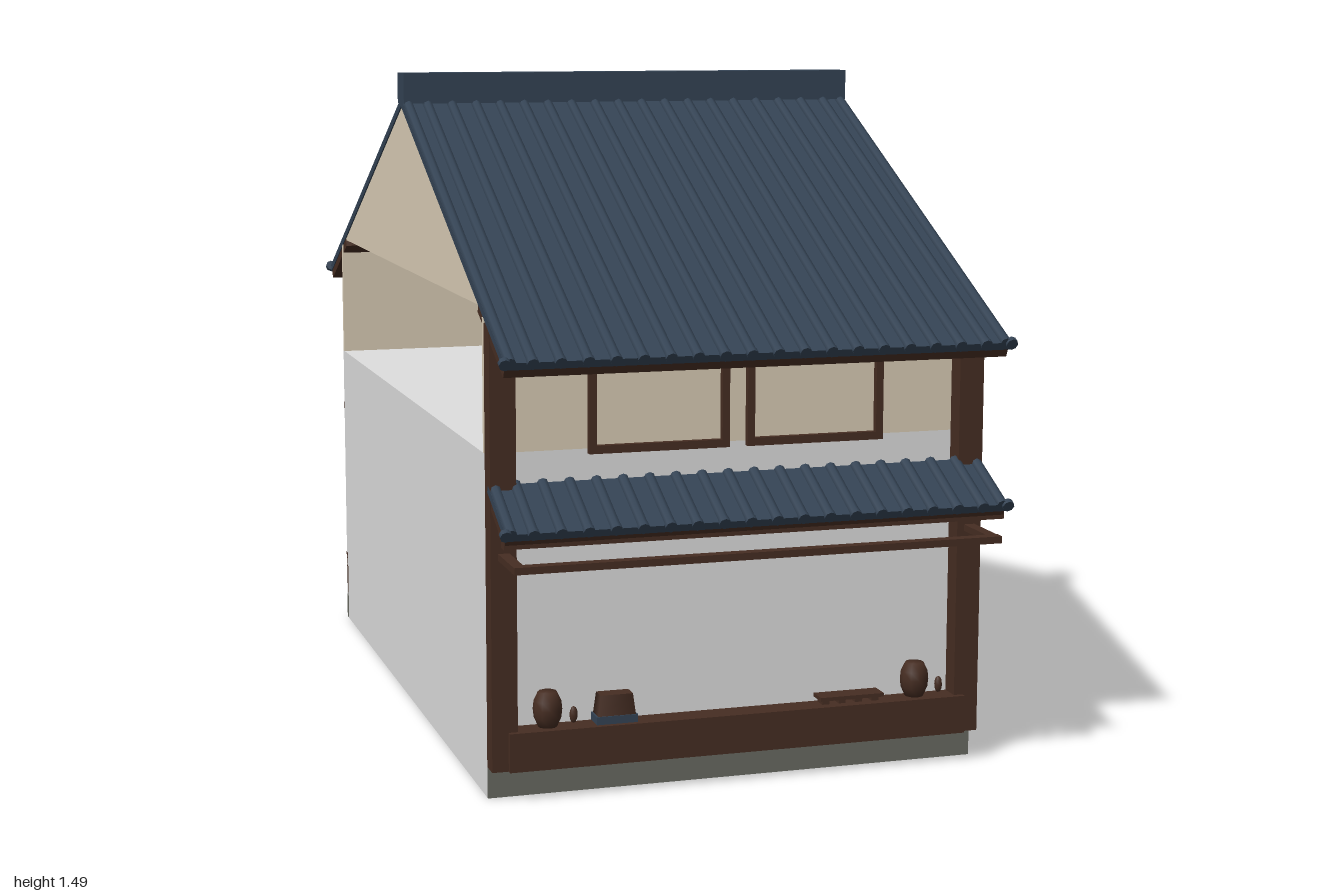
import * as THREE from 'three';

export function createModel() {
  const root = new THREE.Group();
  root.name = 'townhouse';
  const mat = (name, color) => {
    const m = new THREE.MeshStandardMaterial({ color });
    m.name = name;
    return m;
  };
  const tile = mat('slate blue tile', 0x344354);
  const wood = mat('dark wood', 0x462d22);
  const plaster = mat('cream plaster', 0xdacdb6);
  const white = mat('pale wall', 0xdedede);
  const stone = mat('grey stone', 0x696a62);

  const add = (name, geo, material, parent = root) => {
    const mesh = new THREE.Mesh(geo, material);
    mesh.name = name;
    parent.add(mesh);
    return mesh;
  };
  // Box given by its lower and upper limits on each axis
  const block = (name, material, x0, x1, y0, y1, z0, z1, parent = root) => {
    const mesh = add(name, new THREE.BoxGeometry(x1 - x0, y1 - y0, z1 - z0), material, parent);
    mesh.position.set((x0 + x1) / 2, (y0 + y1) / 2, (z0 + z1) / 2);
    return mesh;
  };

  // Main body, foundation and thin upper walls
  const W = 0.545;
  block('body', white, -W, W, 0, 0.73, -0.815, 0.815);
  block('frontFoundation', stone, -W, W, 0, 0.067, 0.8, 0.82);
  block('backFoundation', stone, -W, W, 0, 0.07, -0.82, -0.8);
  block('frontUpperWall', plaster, -W, W, 0.73, 1.01, 0.8, 0.815);
  block('backUpperWall', plaster, -W, W, 0.73, 1.02, -0.815, -0.8);
  block('shopHeader', plaster, -0.49, 0.49, 0.53, 0.57, 0.81, 0.819);
  block('backLowerBand', wood, -W, W, 0.07, 0.18, -0.82, -0.8);
  block('backUpperBand', wood, -W, W, 0.55, 0.59, -0.82, -0.8);

  // Attic prism closing both gables
  const gable = new THREE.Shape([
    new THREE.Vector2(-0.785, 1.03), new THREE.Vector2(0.785, 1.03), new THREE.Vector2(0, 1.41),
  ]);
  const attic = add('attic', new THREE.ExtrudeGeometry(gable, { depth: 1.084, bevelEnabled: false }), plaster);
  attic.rotation.y = Math.PI / 2;
  attic.position.x = -0.542;

  // Sloped roof with rounded tile rows, end caps and wooden eaves
  const angle = 0.456, rows = 20;
  function slope(name, topY, topZ, run, eaveStart, back) {
    const holder = new THREE.Group();
    holder.name = name;
    if (back) holder.rotation.y = Math.PI;
    const g = new THREE.Group();
    g.position.set(0, topY, topZ);
    g.rotation.x = angle;
    holder.add(g);
    root.add(holder);
    const L = run / Math.cos(angle);
    block('roofSlab', tile, -W, W, -0.02, -0.003, 0, L, g);
    block('eaveBoard', wood, -0.543, 0.543, -0.04, -0.02, eaveStart, L - 0.004, g);
    const ribGeo = new THREE.CylinderGeometry(0.012, 0.012, L, 8, 1);
    const capGeo = new THREE.CylinderGeometry(0.013, 0.013, 0.012, 8);
    for (let i = 0; i < rows; i++) {
      const x = -W + (2 * W * i) / (rows - 1);
      const edge = i === 0 ? 0.012 : i === rows - 1 ? -0.012 : 0;
      const rib = add('tileRow', ribGeo, tile, g);
      rib.rotation.x = Math.PI / 2;
      rib.position.set(x + edge, -0.004, L / 2);
      const cap = add('tileCap', capGeo, tile, g);
      cap.rotation.x = Math.PI / 2;
      cap.position.set(x, -0.004, L);
    }
  }
  slope('frontRoof', 1.43, 0, 0.993, 0.86, false);
  slope('backRoof', 1.43, 0, 0.993, 0.86, true);
  slope('canopyRoof', 0.672, 0.843, 0.15, 0, false);
  block('ridge', tile, -W, W, 1.415, 1.485, -0.035, 0.035);

  // Front timber frame
  for (const s of [-1, 1]) {
    const x = s * 0.5175;
    block('cornerPost', wood, x - 0.0275, x + 0.0275, 0.067, 1.0, 0.81, 0.86);
    for (const y of [0.515, 0.568]) {
      block('canopyBracket', wood, x - 0.012, x + 0.012, y, y + 0.014, 0.85, 0.975);
    }
  }
  block('topBeam', wood, -0.49, 0.49, 0.95, 1.0, 0.81, 0.85);
  block('middleBeam', wood, -0.49, 0.49, 0.57, 0.655, 0.81, 0.85);
  block('canopyBeam', wood, -W, W, 0.562, 0.58, 0.95, 0.975);
  block('awningRail', wood, -0.53, 0.53, 0.515, 0.53, 0.975, 1.0);
  block('sill', wood, -0.49, 0.49, 0.067, 0.15, 0.81, 0.86);
  block('sillFace', wood, -0.51, 0.51, 0.067, 0.15, 0.855, 0.872);

  // Window frames
  for (const c of [-0.173, 0.173]) {
    const f = new THREE.Group();
    f.name = 'windowFrame';
    f.position.x = c;
    root.add(f);
    for (const s of [-1, 1]) {
      block('frameSide', wood, s * 0.145 - 0.008, s * 0.145 + 0.008, 0.72, 0.96, 0.792, 0.83, f);
    }
    block('frameBottom', wood, -0.153, 0.153, 0.72, 0.737, 0.792, 0.83, f);
    block('frameTop', wood, -0.153, 0.153, 0.945, 0.96, 0.792, 0.83, f);
  }

  // Shop goods on the sill
  const jarProfile = [[0, 0], [0.02, 0], [0.029, 0.02], [0.031, 0.038], [0.029, 0.056], [0.02, 0.075], [0, 0.075]]
    .map(([r, y]) => new THREE.Vector2(r, y));
  for (const x of [-0.42, 0.406]) {
    add('barrel', new THREE.LatheGeometry(jarProfile, 10), wood).position.set(x, 0.15, 0.835);
    const cup = add('smallBottle', new THREE.SphereGeometry(0.018, 8, 6), wood);
    cup.scale.set(0.5, 1, 0.5);
    cup.position.set(x + 0.055, 0.172, 0.84);
  }
  block('crateBase', tile, -0.32, -0.23, 0.15, 0.167, 0.815, 0.86);
  const crate = add('crate', new THREE.CylinderGeometry(0.05, 0.058, 0.045, 4, 1).rotateY(Math.PI / 4), wood);
  crate.scale.z = 0.5;
  crate.position.set(-0.275, 0.189, 0.837);
  block('tray', wood, 0.18, 0.325, 0.16, 0.168, 0.815, 0.86);
  for (let i = 0; i < 4; i++) {
    const x = 0.195 + i * 0.038;
    block('trayFoot', wood, x - 0.008, x + 0.008, 0.15, 0.161, 0.82, 0.85);
  }
  return root;
}
